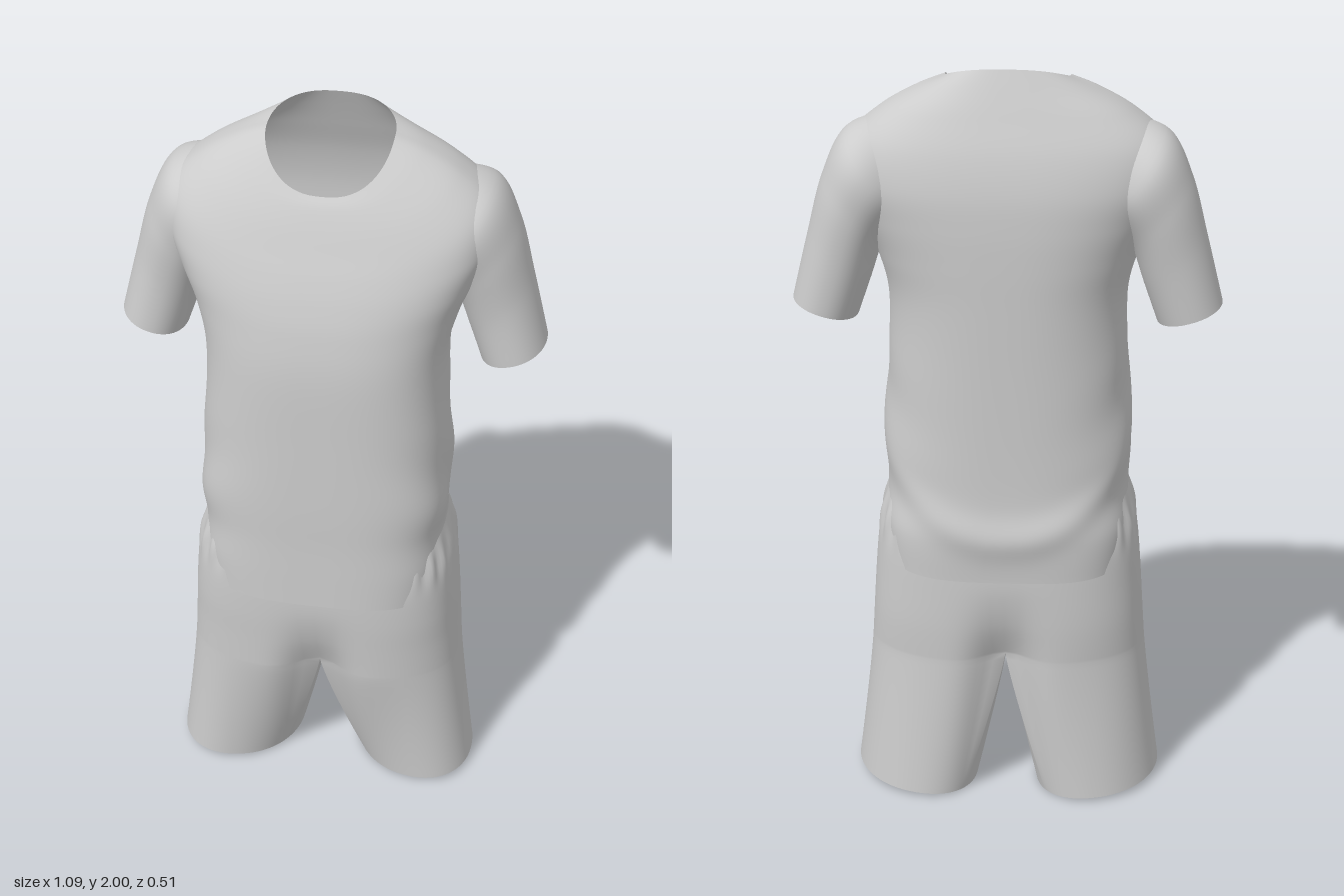
import * as THREE from 'three';
import { mergeGeometries, mergeVertices } from 'three/addons/utils/BufferGeometryUtils.js';

const SEG = 144;
const bell = (v, centre, width) => Math.exp(-(((v - centre) / width) ** 2));
const power = (v, n) => Math.sign(v) * Math.abs(v) ** (2 / n);
const mix = THREE.MathUtils.lerp;

// Smooth interpolation through a list of key cross-sections, t in 0..1
function sampleKeys(keys, t) {
  const f = t * (keys.length - 1);
  const i = Math.min(Math.floor(f), keys.length - 2);
  const u = f - i;
  const at = (k) => keys[THREE.MathUtils.clamp(k, 0, keys.length - 1)];
  return keys[i].map((p1, c) => {
    const p0 = at(i - 1)[c], p2 = at(i + 1)[c], p3 = at(i + 2)[c];
    const m1 = (p2 - p0) / 2, m2 = (p3 - p1) / 2;
    return p1 + u * (m1 + u * (3 * (p2 - p1) - 2 * m1 - m2 + u * (2 * (p1 - p2) + m1 + m2)));
  });
}

// Open tube of closed loops: point(t, k) gives [x, y, z]; rows run upwards
function loft(rows, seg, point, flip = false) {
  const pos = [], index = [];
  for (let r = 0; r <= rows; r++) {
    for (let k = 0; k < seg; k++) pos.push(...point(r / rows, k));
  }
  for (let r = 0; r < rows; r++) {
    for (let k = 0; k < seg; k++) {
      const a = r * seg + k, b = r * seg + ((k + 1) % seg), c = a + seg, d = b + seg;
      if (flip) index.push(a, b, c, b, d, c);
      else index.push(a, c, b, b, c, d);
    }
  }
  const geo = new THREE.BufferGeometry();
  geo.setAttribute('position', new THREE.Float32BufferAttribute(pos, 3));
  geo.setIndex(index);
  geo.computeVertexNormals();
  return geo;
}

// Body cross-section: half width, front z, back z, heights at front, side and back,
// squareness at front and back, centre crease
function bodyPoint([hx, zf, zb, yf, ys, yb, nf, nb, crease = 0], angle) {
  const s = Math.sin(angle);
  const n = s > 0 ? nf : nb;
  const x = hx * power(Math.cos(angle), n);
  const z = (zf + zb) / 2 + ((zf - zb) / 2) * power(s, n);
  const y = ys + ((s > 0 ? yf : yb) - ys) * Math.abs(s) ** 1.3;
  return [x, y, z * (1 - crease * bell(x, 0, 0.08))];
}

// Shirt body, from hem to neckline
const shirtKeys = [
  [0.312, 0.250, -0.236, 0.69, 0.69, 0.67, 3.2, 3.4],
  [0.320, 0.250, -0.242, 0.78, 0.79, 0.78, 3.2, 3.2],
  [0.316, 0.250, -0.236, 0.88, 0.88, 0.88, 3.2, 2.8],
  [0.325, 0.252, -0.235, 1.00, 1.00, 1.00, 3.1, 2.6],
  [0.312, 0.252, -0.238, 1.20, 1.20, 1.20, 2.9, 2.5],
  [0.305, 0.250, -0.243, 1.40, 1.40, 1.40, 2.8, 2.5],
  [0.330, 0.236, -0.246, 1.52, 1.52, 1.52, 2.7, 2.6],
  [0.368, 0.217, -0.246, 1.60, 1.62, 1.62, 2.7, 2.7],
  [0.400, 0.195, -0.240, 1.665, 1.72, 1.71, 2.6, 2.8],
  [0.388, 0.172, -0.220, 1.72, 1.815, 1.80, 2.6, 2.8],
  [0.315, 0.147, -0.187, 1.78, 1.884, 1.885, 2.6, 2.7],
  [0.225, 0.125, -0.160, 1.825, 1.935, 1.95, 2.5, 2.5],
  [0.155, 0.108, -0.138, 1.848, 1.962, 2.00, 2.5, 2.5],
];

function shirtBody() {
  return loft(96, SEG, (t, k) => {
    const angle = (k / SEG) * Math.PI * 2;
    const [x, y, z] = bodyPoint(sampleKeys(shirtKeys, t), angle);
    // soft diagonal drape folds at the flanks
    const fold = 1 + 0.014 * Math.sin(24 * y - 18 * z) * bell(y, 1.03, 0.2) * Math.cos(angle) ** 2;
    // swag of loose cloth hanging across the back
    const swag = 0.012 * bell(y, 0.79 + 1.8 * x * x, 0.05) * Math.max(-Math.sin(angle), 0);
    return [x * fold, y, z * fold - swag];
  });
}

// Sleeve rings, cuff to shoulder: outer x y, inner x y, front z, back z
const sleeveKeys = [
  [0.545, 1.400, 0.380, 1.350, 0.050, -0.175],
  [0.502, 1.570, 0.345, 1.450, 0.055, -0.187],
  [0.461, 1.720, 0.310, 1.550, 0.075, -0.203],
  [0.402, 1.832, 0.260, 1.620, 0.095, -0.210],
  [0.290, 1.872, 0.200, 1.650, 0.060, -0.150],
];

function sleeve(side) {
  return loft(32, 56, (t, k) => {
    const [ox, oy, ix, iy, zf, zb] = sampleKeys(sleeveKeys, t);
    const angle = (k / 56) * Math.PI * 2;
    const w = (1 + power(Math.cos(angle), 2.15)) / 2;
    const z = (zf + zb) / 2 + ((zf - zb) / 2) * power(Math.sin(angle), 2.15);
    return [side * mix(ix, ox, w), mix(iy, oy, w), z];
  }, side < 0);
}

// Seat of the shorts, from crotch to waistband
const seatKeys = [
  [0.370, 0.224, -0.222, 0.42, 0.42, 0.42, 2.8, 2.5, 0.30],
  [0.363, 0.230, -0.226, 0.52, 0.52, 0.52, 2.9, 2.7, 0.12],
  [0.356, 0.235, -0.227, 0.62, 0.62, 0.62, 3.1, 2.8, 0.02],
  [0.347, 0.237, -0.226, 0.72, 0.72, 0.72, 3.2, 2.9, 0],
  [0.335, 0.233, -0.222, 0.80, 0.80, 0.80, 3.2, 2.9, 0],
  [0.318, 0.222, -0.215, 0.86, 0.86, 0.86, 3.2, 2.8, 0],
];

function seat() {
  return loft(40, SEG, (t, k) => {
    const angle = (k / SEG) * Math.PI * 2;
    const [x, y, z] = bodyPoint(sampleKeys(seatKeys, t), angle);
    // elastic gathers at the waist, none at the crotch edge
    const gather = t === 0 ? 1 : 1 + 0.014 * Math.sin(24 * angle) * bell(y, 0.79, 0.045);
    return [x * gather, y, z * gather];
  });
}

// Leg: blends from half of the crotch ring plus the inseam to a round hem, turned slightly
function leg(side) {
  const half = SEG / 2, inner = 32, seg = half + inner;
  const spread = THREE.MathUtils.degToRad(145);
  const front = bodyPoint(seatKeys[0], Math.PI / 2)[2];
  const back = bodyPoint(seatKeys[0], -Math.PI / 2)[2];
  return loft(24, seg, (t, k) => {
    let top, angle;
    if (k <= half) {
      const u = k / half;
      top = bodyPoint(seatKeys[0], (u - 0.5) * Math.PI);
      angle = mix(-spread, spread, u);
    } else {
      const u = (k - half) / inner;
      top = [0, 0.42 - 0.03 * Math.sin(u * Math.PI), mix(front, back, u)];
      angle = mix(spread, 2 * Math.PI - spread, u);
    }
    const reach = 0.168 * power(Math.cos(angle), 2.15);
    const hem = [
      0.25 + reach,
      0.01 + 0.01 * Math.cos(angle),
      -0.025 + 0.184 * power(Math.sin(angle), 2.15) + 0.2 * reach,
    ];
    const down = 1 - t, shape = down ** 1.15;
    return [side * mix(top[0], hem[0], shape), mix(top[1], hem[1], down), mix(top[2], hem[2], shape)];
  }, side < 0);
}

function shorts() {
  const geo = mergeGeometries([seat(), leg(1), leg(-1)]);
  geo.deleteAttribute('normal');
  const welded = mergeVertices(geo, 1e-4);
  welded.computeVertexNormals();
  return welded;
}

export function createModel() {
  const fabric = new THREE.MeshStandardMaterial({ color: 0xcccccc, side: THREE.DoubleSide });
  fabric.name = 'lightGreyFabric';

  const model = new THREE.Group();
  model.name = 'shirtAndShorts';
  const add = (name, geo) => {
    const mesh = new THREE.Mesh(geo, fabric);
    mesh.name = name;
    model.add(mesh);
  };
  add('shirtBody', shirtBody());
  add('leftSleeve', sleeve(1));
  add('rightSleeve', sleeve(-1));
  add('shorts', shorts());
  return model;
}
